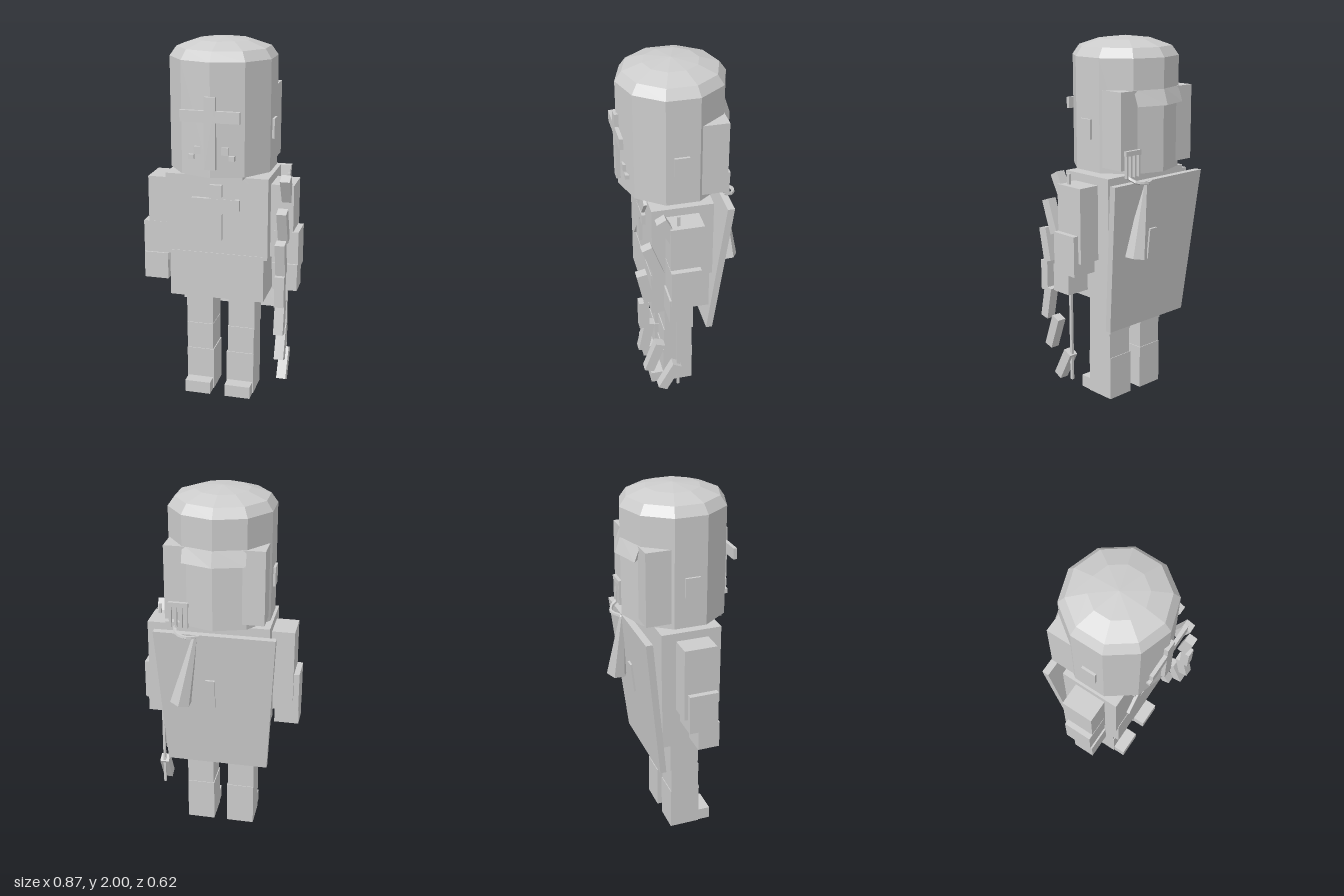
import * as THREE from 'three';

export function createModel() {
  const root = new THREE.Group();
  const grey = new THREE.MeshStandardMaterial({ color: 0xcccccc, flatShading: true, side: THREE.DoubleSide });
  grey.name = 'stone grey';

  const add = (name, geo) => {
    const m = new THREE.Mesh(geo, grey);
    m.name = name;
    root.add(m);
    return m;
  };
  // Box given by its limits on each axis
  const box = (name, x0, x1, y0, y1, z0, z1) => {
    const m = add(name, new THREE.BoxGeometry(x1 - x0, y1 - y0, z1 - z0));
    m.position.set((x0 + x1) / 2, (y0 + y1) / 2, (z0 + z1) / 2);
    return m;
  };
  // The same box on the left and right sides
  const pair = (name, x0, x1, ...rest) => {
    box(name + 'Left', x0, x1, ...rest);
    box(name + 'Right', -x1, -x0, ...rest);
  };
  // Solid lofted between rings with equal point counts
  const loft = (name, rings) => {
    const n = rings[0].length, idx = [];
    for (let r = 0; r < rings.length - 1; r++)
      for (let i = 0; i < n; i++) {
        const a = r * n + i, b = r * n + (i + 1) % n;
        idx.push(a, b, b + n, a, b + n, a + n);
      }
    const last = (rings.length - 1) * n;
    for (let i = 1; i < n - 1; i++) idx.push(0, i + 1, i, last, last + i, last + i + 1);
    const g = new THREE.BufferGeometry();
    g.setAttribute('position', new THREE.Float32BufferAttribute(rings.flat(2), 3));
    g.setIndex(idx);
    const flat = g.toNonIndexed();
    flat.computeVertexNormals();
    return add(name, flat);
  };

  // Helmet: ten-sided drum with a faceted dome
  const profile = [[0, 1.31], [0.285, 1.31], [0.285, 1.9], [0.249, 1.95], [0.145, 1.985], [0, 2]];
  add('helmet', new THREE.LatheGeometry(profile.map(p => new THREE.Vector2(...p)), 10)).position.z = 0.012;
  const neck = add('neck', new THREE.CylinderGeometry(0.12, 0.12, 0.04, 10));
  neck.position.set(0, 1.3, 0.01);
  box('chin', -0.155, 0.155, 1.29, 1.36, 0.1, 0.235);

  // Face cross, eyes and breathing studs
  box('faceCrossUpright', -0.03, 0.03, 1.355, 1.73, 0.27, 0.31);
  box('faceCrossBar', -0.157, 0.157, 1.6, 1.66, 0.29, 0.31);
  pair('cheekStud', 0.092, 0.122, 1.4, 1.425, 0.24, 0.28);
  pair('noseStud', 0.055, 0.09, 1.43, 1.47, 0.25, 0.285);

  // Ear plates and rear cheek guards
  pair('earPlate', 0.25, 0.284, 1.48, 1.585, -0.02, 0.06);
  pair('rearGuard', 0.14, 0.262, 1.34, 1.74, -0.226, -0.085);

  // Flared rear brim
  const brim = (y, zSide, zMid) => [[-0.165, y, zSide], [0, y, zMid], [0.165, y, zSide], [0, y, -0.1]];
  loft('rearBrim', [brim(1.66, -0.25, -0.3), brim(1.75, -0.216, -0.27)]);

  // Torso and skirt
  box('torso', -0.28, 0.28, 0.84, 1.29, -0.15, 0.18);
  box('skirt', -0.26, 0.26, 0.6, 0.86, -0.14, 0.183);
  box('chestCrossUpright', -0.033, 0.033, 0.94, 1.245, 0.17, 0.2);
  box('chestCrossBar', -0.13, 0.13, 1.11, 1.17, 0.17, 0.201);
  const strap = box('chestStrap', -0.03, 0.03, 0.845, 1.335, 0.17, 0.198);
  strap.rotation.z = -0.675;

  // Cape: tapered slab hanging from the shoulders
  const slab = (y, w, z0, z1) => [[-w, y, z0], [w, y, z0], [w, y, z1], [-w, y, z1]];
  loft('cape', [slab(0.45, 0.28, -0.16, -0.125), slab(1.27, 0.325, -0.25, -0.212)]);
  const strip = box('capeStrip', 0, 0.05, 0.83, 1.0, -0.222, -0.19);
  strip.rotation.x = -0.11;

  // Arms
  pair('upperArm', 0.275, 0.403, 0.84, 1.245, -0.07, 0.108);
  pair('forearm', 0.29, 0.433, 0.77, 0.99, -0.05, 0.11);
  pair('hand', 0.295, 0.431, 0.66, 0.81, 0, 0.12);

  // Legs
  pair('thigh', 0.045, 0.195, 0.39, 0.62, -0.07, 0.095);
  pair('knee', 0.043, 0.193, 0.24, 0.4, -0.063, 0.1);
  pair('boot', 0.038, 0.193, 0, 0.245, -0.067, 0.105);
  pair('toe', 0.042, 0.188, 0, 0.07, 0.01, 0.175);

  // Bow: a grip and three tilted blocks on each limb
  const bowX = 0.365, bowMid = 0.717;
  box('bowGrip', bowX - 0.026, bowX + 0.026, 0.62, 0.79, 0.223, 0.276);
  const limb = [[0.24, 0.167, 0.185, 0.2], [0.196, 0.331, 0.19, 0.35], [0.11, 0.497, 0.18, 0.49]];
  for (const s of [-1, 1])
    limb.forEach(([z, dy, len, tilt], i) => {
      const m = add(`bow${s > 0 ? 'Upper' : 'Lower'}Limb${i + 1}`, new THREE.BoxGeometry(0.052, len, 0.055));
      m.position.set(bowX, bowMid + s * dy, z);
      m.rotation.x = s * tilt;
    });
  box('bowString', bowX - 0.007, bowX + 0.007, 0.14, 1.3, 0.05, 0.066);

  // Horn hanging behind the cape, with its cord
  const top = new THREE.Vector3(0.1, 1.26, -0.24), end = new THREE.Vector3(0.18, 0.87, -0.255);
  const dir = top.clone().sub(end);
  const horn = add('horn', new THREE.CylinderGeometry(0.014, 0.06, dir.length(), 6));
  horn.position.copy(top).add(end).multiplyScalar(0.5);
  horn.quaternion.setFromUnitVectors(new THREE.Vector3(0, 1, 0), dir.normalize());
  const cord = [[0.21, 1.3, -0.225], [0.195, 1.28, -0.265], [0.135, 1.27, -0.29], [0.075, 1.265, -0.255]];
  add('hornCord', new THREE.TubeGeometry(
    new THREE.CatmullRomCurve3(cord.map(p => new THREE.Vector3(...p))), 8, 0.01, 5));

  // Comb of short bars on the rear guard
  box('combBar', 0.135, 0.24, 1.415, 1.44, -0.245, -0.22);
  for (let i = 0; i < 4; i++) {
    const x = 0.137 + i * 0.029;
    box('combTooth' + (i + 1), x, x + 0.013, 1.3, 1.42, -0.243, -0.225);
  }
  return root;
}
